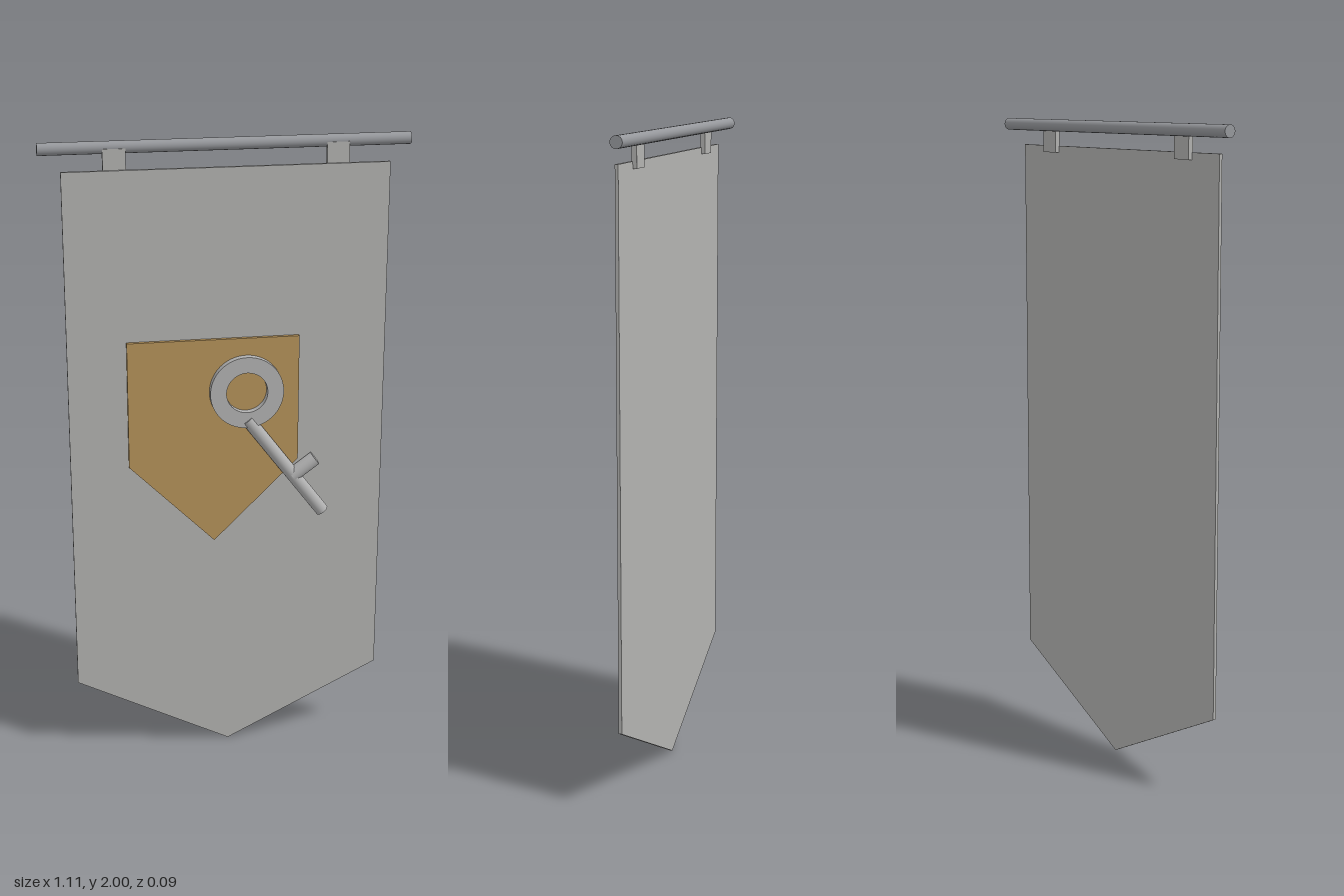
import * as THREE from 'three';

export function createModel() {
  const model = new THREE.Group();
  const mat = (name, color) => new THREE.MeshStandardMaterial({ name, color });
  const cloth = mat('greyCloth', 0xb2b2b0);
  const gold = mat('goldCloth', 0xb5935a);
  const steel = mat('steel', 0xb2b2b2);
  const iron = mat('darkSteel', 0x96989c);

  const add = (name, geometry, material, parent = model) => {
    const mesh = new THREE.Mesh(geometry, material);
    mesh.name = name;
    parent.add(mesh);
    return mesh;
  };

  // Flat panel cut from an outline, its back at z
  const panel = (name, points, z, depth, material) => {
    const shape = new THREE.Shape(points.map(([x, y]) => new THREE.Vector2(x, y)));
    const geometry = new THREE.ExtrudeGeometry(shape, { depth, bevelEnabled: false });
    add(name, geometry, material).position.z = z;
  };

  // Round bar between two points
  const rod = (name, from, to, radius, material, parent) => {
    const a = new THREE.Vector3(...from), b = new THREE.Vector3(...to);
    const dir = b.clone().sub(a);
    const mesh = add(name, new THREE.CylinderGeometry(radius, radius, dir.length(), 24), material, parent);
    mesh.position.copy(a).add(b).multiplyScalar(0.5);
    mesh.quaternion.setFromUnitVectors(new THREE.Vector3(0, 1, 0), dir.normalize());
  };

  // Hanging cloth with a pointed foot, and the badge on it
  panel('banner', [[-0.49, 1.917], [-0.49, 0.247], [0, 0], [0.49, 0.247], [0.49, 1.917]], -0.01, 0.01, cloth);
  panel('badge', [[-0.31, 1.392], [-0.31, 0.99], [-0.045, 0.727], [0.22, 0.99], [0.22, 1.392]], 0, 0.012, gold);

  // Pole and the two tabs that hold the cloth
  rod('pole', [-0.555, 1.981, -0.027], [0.555, 1.981, -0.027], 0.0185, iron);
  for (const side of [-1, 1]) {
    add('hangingTab', new THREE.BoxGeometry(0.068, 0.083, 0.015), cloth)
      .position.set(side * 0.333, 1.938, -0.0145);
  }

  // Key: ring bow, shaft and a single tooth
  const key = new THREE.Group();
  key.name = 'key';
  model.add(key);
  const ring = new THREE.Shape().absarc(0, 0, 0.114, 0, Math.PI * 2);
  ring.holes.push(new THREE.Path().absarc(0, 0, 0.064, 0, Math.PI * 2, true));
  add('keyRing', new THREE.ExtrudeGeometry(ring, { depth: 0.025, bevelEnabled: false, curveSegments: 40 }), steel, key)
    .position.set(0.055, 1.224, 0.011);
  rod('keyShaft', [0.058, 1.133, 0.021], [0.299, 0.812, 0.021], 0.021, steel, key);
  rod('keyTooth', [0.2, 0.937, 0.021], [0.273, 0.991, 0.021], 0.023, steel, key);

  return model;
}
